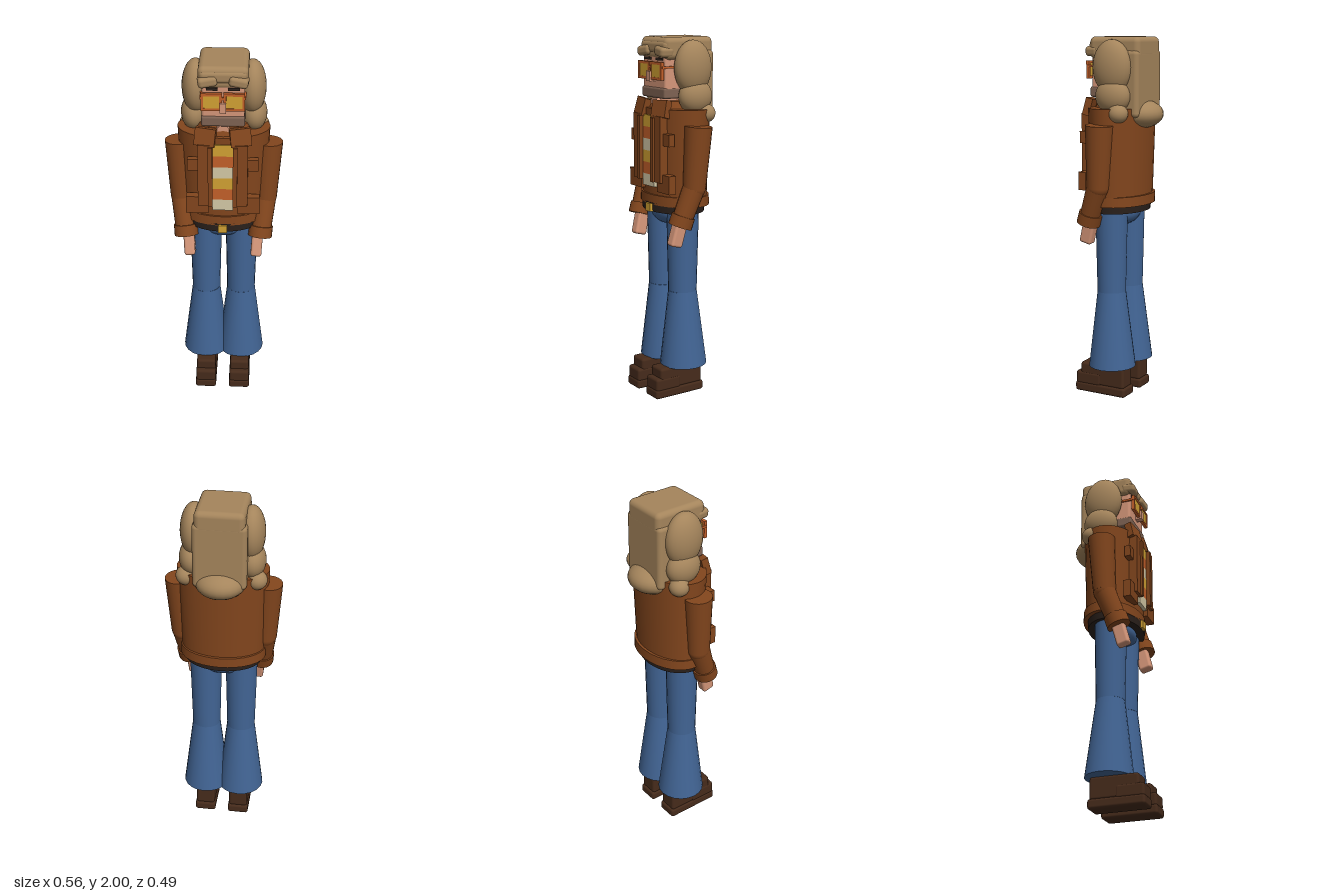
import * as THREE from 'three';
import { RoundedBoxGeometry } from 'three/addons/geometries/RoundedBoxGeometry.js';

const mat = (name, color) => {
  const m = new THREE.MeshStandardMaterial({ color });
  m.name = name;
  return m;
};

export function createModel() {
  const leather = mat('brown leather', 0x83461d);
  const hair = mat('sandy hair', 0xa5855c);
  const denim = mat('blue denim', 0x426595);
  const shoeBrown = mat('dark shoe brown', 0x462b1b);
  const black = mat('belt black', 0x2b211c);
  const gold = mat('golden yellow', 0xd2a233);
  const orange = mat('burnt orange', 0xc4602a);
  const cream = mat('cream', 0xd5c9a6);
  const skin = mat('skin', 0xd6977a);
  const stubble = mat('stubble', 0x7f6353);

  const figure = new THREE.Group();
  figure.name = 'figure';
  const add = (name, geo, m, x = 0, y = 0, z = 0) => {
    const mesh = new THREE.Mesh(geo, m);
    mesh.name = name;
    mesh.position.set(x, y, z);
    figure.add(mesh);
    return mesh;
  };
  const box = (name, m, w, h, d, x, y, z) => add(name, new THREE.BoxGeometry(w, h, d), m, x, y, z);
  const soft = (name, m, w, h, d, x, y, z, r = 0.015) =>
    add(name, new RoundedBoxGeometry(w, h, d, 3, r), m, x, y, z);
  const blob = (name, m, rx, ry, rz, x, y, z) =>
    add(name, new THREE.SphereGeometry(1, 24, 16).scale(rx, ry, rz), m, x, y, z);
  // Oval cylinder between two heights
  const oval = (name, m, topW, botW, depth, y0, y1, z) =>
    add(name, new THREE.CylinderGeometry(topW, botW, y1 - y0, 32).scale(1, 1, depth), m, 0, (y0 + y1) / 2, z);
  // Tapered cylinder from a to b
  const limb = (name, m, a, b, ra, rb) => {
    const p = new THREE.Vector3(...a), q = new THREE.Vector3(...b);
    const mesh = add(name, new THREE.CylinderGeometry(ra, rb, p.distanceTo(q), 20), m);
    mesh.position.copy(p).lerp(q, 0.5);
    mesh.quaternion.setFromUnitVectors(new THREE.Vector3(0, 1, 0), p.clone().sub(q).normalize());
    return mesh;
  };

  for (const s of [-1, 1]) {
    // Shoes
    soft('sole', shoeBrown, 0.12, 0.055, 0.318, s * 0.098, 0.0275, 0.04);
    soft('shoeUpper', shoeBrown, 0.108, 0.125, 0.275, s * 0.098, 0.11, 0.028);
    soft('shoeToe', shoeBrown, 0.114, 0.075, 0.16, s * 0.098, 0.08, 0.115);

    // Flared trousers
    limb('thigh', denim, [s * 0.1, 1.06, -0.01], [s * 0.1, 0.6, -0.01], 0.09, 0.08);
    limb('flare', denim, [s * 0.1, 0.6, -0.01], [s * 0.102, 0.17, -0.015], 0.08, 0.132);

    // Arms
    limb('upperSleeve', leather, [s * 0.242, 1.535, -0.014], [s * 0.229, 1.2, 0.002], 0.076, 0.063);
    blob('elbow', leather, 0.062, 0.062, 0.062, s * 0.229, 1.2, 0.002);
    limb('lowerSleeve', leather, [s * 0.229, 1.21, 0], [s * 0.209, 1.03, 0.066], 0.062, 0.056);
    limb('cuff', leather, [s * 0.21, 1.05, 0.059], [s * 0.204, 0.992, 0.078], 0.065, 0.066);
    const hand = soft('hand', skin, 0.06, 0.13, 0.072, s * 0.187, 0.942, 0.085, 0.014);
    hand.rotation.set(-0.25, 0, -s * 0.06);

    // Jacket front details
    box('frontPanel', leather, 0.075, 0.36, 0.05, s * 0.095, 1.405, 0.135);
    box('frontPlacket', leather, 0.024, 0.35, 0.03, s * 0.066, 1.4, 0.157);
    box('chestFlap', leather, 0.1, 0.065, 0.035, s * 0.138, 1.46, 0.122);
    box('lowerPocket', leather, 0.12, 0.1, 0.045, s * 0.138, 1.22, 0.122);
    const lapel = box('collarLapel', leather, 0.11, 0.095, 0.04, s * 0.092, 1.62, 0.125);
    lapel.rotation.set(-0.25, s * 0.15, s * 0.1);

    // Side hair lobes
    blob('upperHairLobe', hair, 0.073, 0.148, 0.112, s * 0.15, 1.838, -0.04);
    blob('middleHairLobe', hair, 0.07, 0.095, 0.1, s * 0.16, 1.685, -0.05);
    blob('lowerHairLobe', hair, 0.055, 0.052, 0.055, s * 0.188, 1.595, -0.097);
    const lock = soft('fringeLock', hair, 0.1, 0.055, 0.08, s * 0.082, 1.925, 0.1, 0.02);
    lock.rotation.set(0, s * -0.12, s * -0.14);

    // Glasses and brows
    box('eyebrow', black, 0.06, 0.014, 0.01, s * 0.057, 1.884, 0.112);
    box('lens', gold, 0.085, 0.07, 0.008, s * 0.059, 1.822, 0.133);
    for (const e of [-1, 1]) {
      box('frameBar', orange, 0.11, 0.014, 0.018, s * 0.059, 1.822 + e * 0.041, 0.131);
      box('frameSide', orange, 0.014, 0.094, 0.018, s * 0.059 + e * 0.048, 1.822, 0.131);
    }
    box('glassesTemple', orange, 0.01, 0.012, 0.15, s * 0.114, 1.842, 0.06);
  }

  // Hips and belt
  blob('hips', denim, 0.15, 0.08, 0.105, 0, 1.04, -0.01);
  oval('belt', black, 0.215, 0.21, 0.72, 1.05, 1.1, -0.013);
  box('buckle', gold, 0.048, 0.045, 0.02, 0, 1.073, 0.144);

  // Jacket body
  oval('jacketHem', leather, 0.234, 0.236, 0.7, 1.09, 1.145, -0.024);
  oval('jacketBody', leather, 0.248, 0.228, 0.66, 1.13, 1.62, -0.022);
  oval('collarRing', leather, 0.135, 0.16, 0.85, 1.61, 1.66, -0.01);

  // Striped shirt
  const stripes = [gold, orange, cream];
  for (let i = 0; i < 6; i++)
    box('shirtStripe', stripes[i % 3], 0.11, 0.065, 0.03, 0, 1.55 - i * 0.065, 0.134);

  // Head
  add('neck', new THREE.CylinderGeometry(0.07, 0.075, 0.14, 16), skin, 0, 1.64, 0.02);
  const throat = box('throat', skin, 0.06, 0.06, 0.03, 0, 1.65, 0.095);
  throat.rotation.z = Math.PI / 4;
  soft('head', skin, 0.222, 0.24, 0.22, 0, 1.81, 0);
  soft('jawStubble', stubble, 0.228, 0.058, 0.2, 0, 1.703, 0.018, 0.012);
  box('nose', skin, 0.034, 0.055, 0.045, 0, 1.792, 0.127);
  box('bridge', orange, 0.03, 0.012, 0.016, 0, 1.842, 0.133);

  // Hair on the crown and back
  soft('crownHair', hair, 0.262, 0.12, 0.305, 0, 1.94, -0.037, 0.03);
  soft('fringe', hair, 0.25, 0.07, 0.06, 0, 1.947, 0.092, 0.025);
  soft('backHair', hair, 0.285, 0.36, 0.125, 0, 1.75, -0.127, 0.025);
  blob('backHairEnd', hair, 0.135, 0.08, 0.13, 0, 1.585, -0.13);

  // Turn the figure and centre it on the ground
  figure.rotation.y = THREE.MathUtils.degToRad(35);
  figure.updateMatrixWorld(true);
  const bounds = new THREE.Box3().setFromObject(figure, true);
  const centre = bounds.getCenter(new THREE.Vector3());
  figure.position.set(-centre.x, -bounds.min.y, -centre.z);
  const group = new THREE.Group();
  group.name = 'standingMan';
  group.add(figure);
  return group;
}
